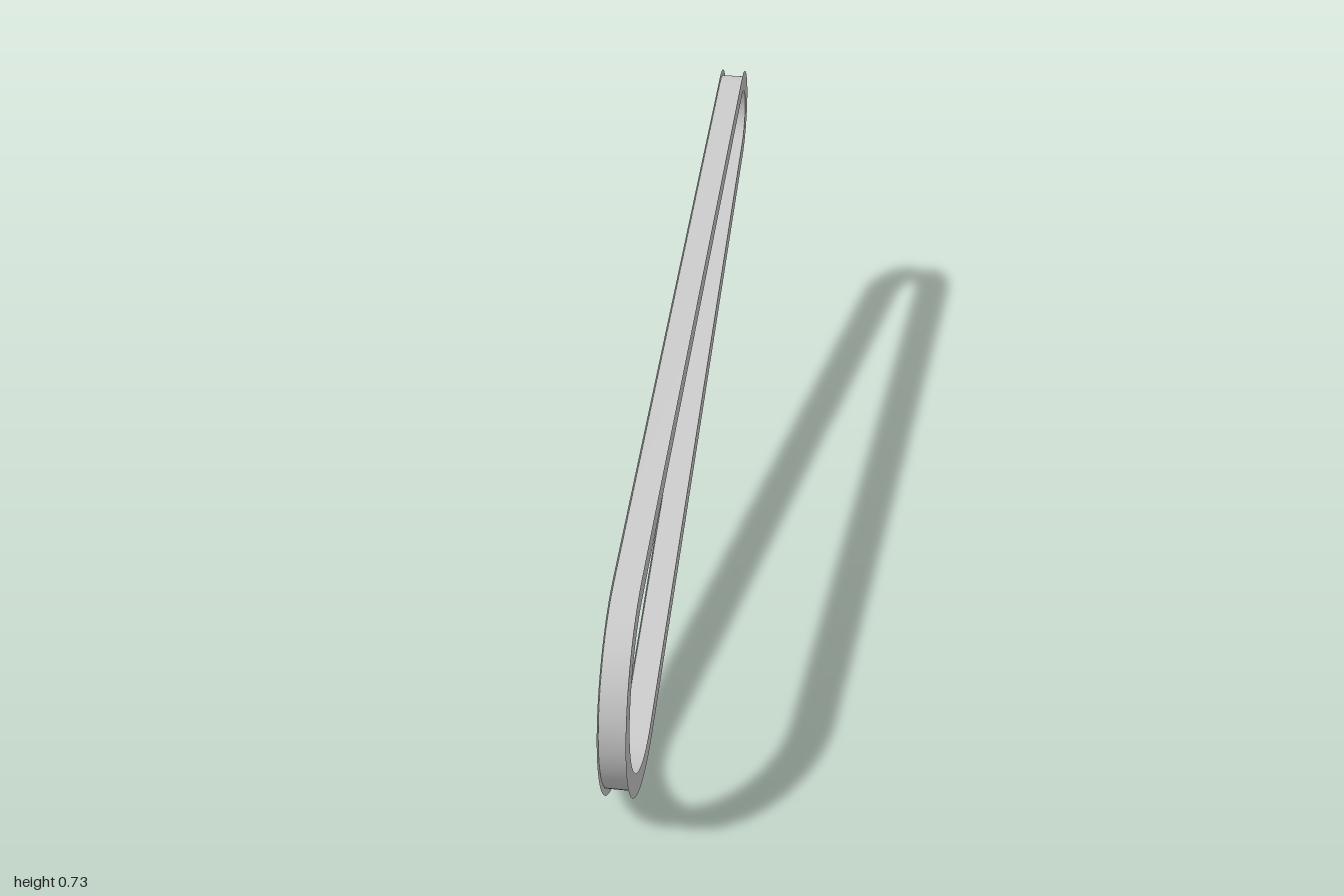
import * as THREE from 'three';
import { toCreasedNormals } from 'three/addons/utils/BufferGeometryUtils.js';

const HALF_WIDTH = 0.027;
const BAND = 0.048;    // in-plane width of the side plates
const GROOVE = 0.014;  // depth of the inner and outer grooves

// the two rounded ends, in (-z, y)
const small = { u: 0.88, y: 0.615, r: 0.12 };
const big = { u: -0.75, y: 0.25, r: 0.25 };

// Loop of two arcs joined by their outer tangents, shrunk by an inset
function loop(PathType, inset) {
  const du = small.u - big.u, dy = small.y - big.y;
  const axis = Math.atan2(dy, du);
  const spread = Math.acos((big.r - small.r) / Math.hypot(du, dy));
  const low = axis - spread, high = axis + spread;
  const path = new PathType();
  path.absarc(small.u, small.y, small.r - inset, low, high, false);
  path.absarc(big.u, big.y, big.r - inset, high, low + Math.PI * 2, false);
  path.closePath();
  return path;
}

function ring(outerInset, innerInset) {
  const shape = loop(THREE.Shape, outerInset);
  shape.holes.push(loop(THREE.Path, innerInset));
  return shape;
}

export function createModel() {
  const group = new THREE.Group();
  group.name = 'beltLoop';
  const material = new THREE.MeshStandardMaterial({ color: 0xcccccc, side: THREE.DoubleSide });

  // recessed core between the plates
  const depth = 2 * HALF_WIDTH - 0.001;
  const coreGeometry = new THREE.ExtrudeGeometry(ring(GROOVE, BAND - GROOVE), {
    depth, bevelEnabled: false, curveSegments: 32,
  });
  coreGeometry.translate(0, 0, -depth / 2);
  coreGeometry.rotateY(Math.PI / 2);
  const core = new THREE.Mesh(toCreasedNormals(coreGeometry, 0.6), material);
  core.name = 'beltCore';
  group.add(core);

  // thin side plates standing proud of the core
  for (const side of [1, -1]) {
    const geometry = new THREE.ShapeGeometry(ring(0, BAND), 32);
    if (side < 0) geometry.scale(1, 1, -1);
    geometry.rotateY(Math.PI / 2);
    if (side < 0) {
      // turn the faces outward on the right
      const index = geometry.index;
      for (let i = 0; i < index.count; i += 3) {
        const a = index.getX(i);
        index.setX(i, index.getX(i + 1));
        index.setX(i + 1, a);
      }
      geometry.computeVertexNormals();
    }
    geometry.translate(side * HALF_WIDTH, 0, 0);
    const plate = new THREE.Mesh(geometry, material);
    plate.name = side > 0 ? 'leftPlate' : 'rightPlate';
    group.add(plate);
  }
  return group;
}
